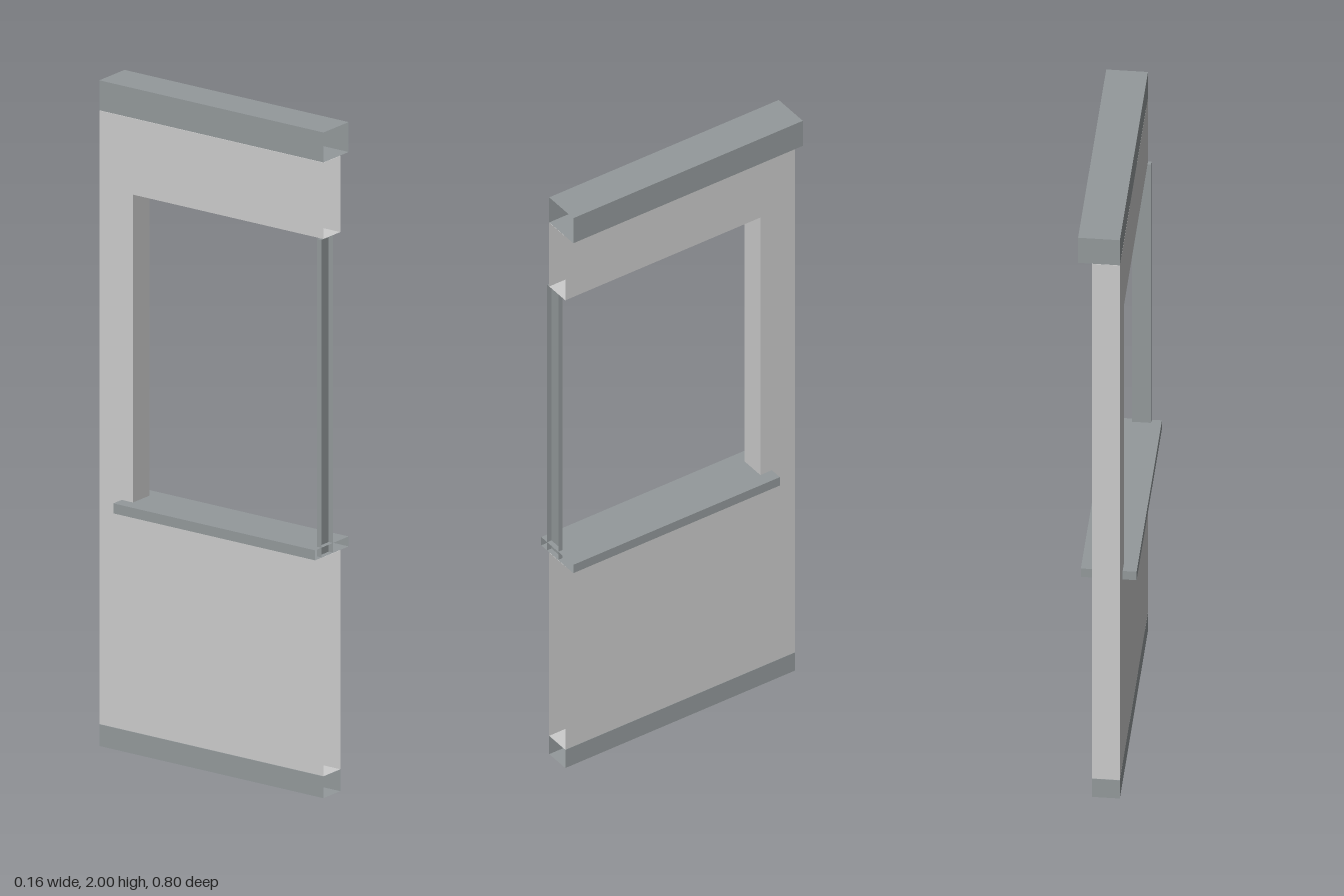
import * as THREE from 'three';

const FRONT = 0.4;
const light = new THREE.MeshStandardMaterial({ color: 0xcccccc, side: THREE.DoubleSide });
const dark = new THREE.MeshStandardMaterial({ color: 0x93999b, side: THREE.DoubleSide });

// Removes the triangles lying flat in any of the given z planes, leaving open ends
function openAtZ(geometry, planes) {
  const flat = geometry.index ? geometry.toNonIndexed() : geometry;
  const p = flat.attributes.position;
  const keep = [];
  for (let i = 0; i < p.count; i += 3) {
    const inPlane = planes.some((z) => [0, 1, 2].every((k) => Math.abs(p.getZ(i + k) - z) < 1e-5));
    if (!inPlane) keep.push(i, i + 1, i + 2);
  }
  flat.setIndex(keep);
  return flat;
}

function part(name, geometry, material, planes = [FRONT]) {
  const mesh = new THREE.Mesh(openAtZ(geometry, planes), material);
  mesh.name = name;
  return mesh;
}

// Box given by its limits
function block(x0, x1, y0, y1, z0, z1) {
  return new THREE.BoxGeometry(x1 - x0, y1 - y0, z1 - z0)
    .translate((x0 + x1) / 2, (y0 + y1) / 2, (z0 + z1) / 2);
}

function extrude(points, depth) {
  const shape = new THREE.Shape(points.map(([a, b]) => new THREE.Vector2(a, b)));
  return new THREE.ExtrudeGeometry(shape, { depth, bevelEnabled: false });
}

export function createModel() {
  const group = new THREE.Group();
  group.name = 'windowWallPanel';

  // C-shaped wall around the window opening, drawn as (-z, y) and extruded along x
  const wall = extrude([
    [-0.4, 0.066], [0.4, 0.066], [0.4, 1.909], [-0.4, 1.909],
    [-0.4, 1.68], [0.28, 1.68], [0.28, 0.724], [-0.4, 0.724],
  ], 0.08).rotateY(Math.PI / 2).translate(-0.04, 0, 0);
  group.add(part('wall', wall, light));

  // Base strip and overhanging top beam
  group.add(part('baseStrip', block(-0.04, 0.04, 0, 0.065, -0.4, FRONT), dark));
  group.add(part('topBeam', block(-0.04, 0.08, 1.91, 2, -0.4, FRONT), dark));

  // Sill with an ear on each side of the wall, drawn as (x, -z) and extruded upward
  const sill = extrude([
    [-0.08, -0.4], [0.08, -0.4], [0.08, 0.32], [0.04, 0.32],
    [0.04, 0.28], [-0.04, 0.28], [-0.04, 0.32], [-0.08, 0.32],
  ], 0.03).rotateX(-Math.PI / 2).translate(0, 0.725, 0);
  group.add(part('windowSill', sill, dark, [FRONT, -0.28]));

  // Thin upright of the window frame at the open end
  group.add(part('frameUpright', block(-0.05, 0.005, 0.726, 1.68, 0.385, FRONT), dark));

  return group;
}
